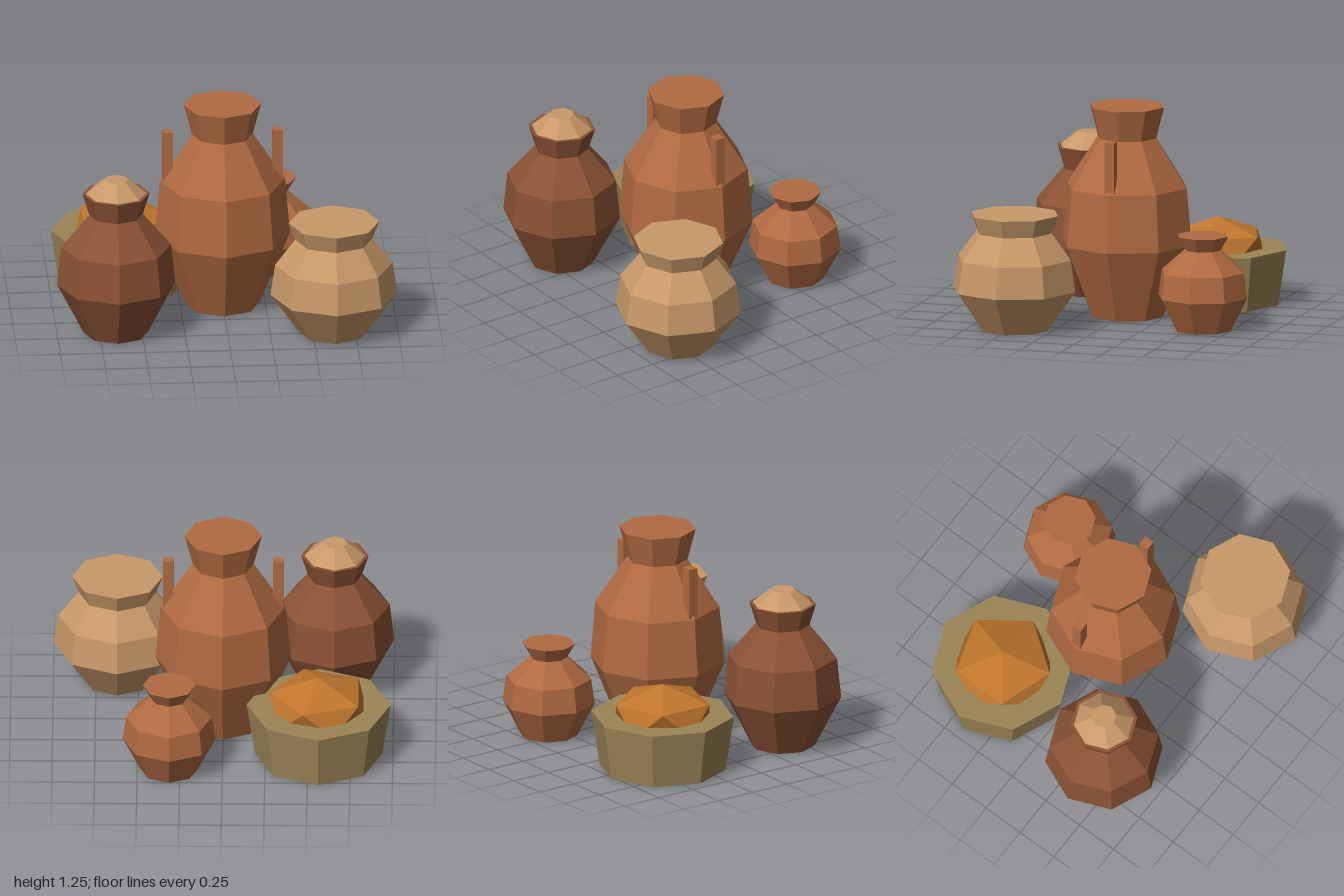
import * as THREE from 'three';

const SIDES = 8;

function material(color) {
  return new THREE.MeshStandardMaterial({ color, flatShading: true });
}

// Closed eight-sided vessel turned from [radius, height] pairs, bottom to top
function vessel(name, color, profile) {
  const top = profile[profile.length - 1][1];
  const points = [[0, profile[0][1]], ...profile, [0, top]].map(([r, y]) => new THREE.Vector2(r, y));
  const mesh = new THREE.Mesh(new THREE.LatheGeometry(points, SIDES), material(color));
  mesh.name = name;
  return mesh;
}

function groupAt(name, x, z, ...parts) {
  const group = new THREE.Group();
  group.name = name;
  group.position.set(x, 0, z);
  group.add(...parts);
  return group;
}

export function createModel() {
  const model = new THREE.Group();
  model.name = 'potteryGroup';

  const terracotta = 0xb06a42, brown = 0x8b5236, sand = 0xc8996a, olive = 0x9c8558, amber = 0xc0762e;

  // Tall jar with two upright handles
  const tallJar = groupAt('tallJar', 0, -0.02,
    vessel('tallJarBody', terracotta, [[0.22, 0], [0.397, 0.435], [0.368, 0.776], [0.179, 1.065], [0.227, 1.252]]));
  for (const side of [1, -1]) {
    const handle = new THREE.Mesh(new THREE.BoxGeometry(0.06, 0.36, 0.06), material(terracotta));
    handle.name = side > 0 ? 'leftHandle' : 'rightHandle';
    handle.position.set(side * 0.323, 0.91, 0);
    tallJar.add(handle);
  }

  // Dark jar closed by a pale lid
  const liddedJar = groupAt('liddedJar', -0.652, 0.412,
    vessel('liddedJarBody', brown, [[0.19, 0], [0.348, 0.308], [0.323, 0.545], [0.158, 0.743], [0.198, 0.875]]),
    vessel('lid', sand, [[0.178, 0.875], [0.073, 0.962]]));

  // Wide pale pot
  const widePot = groupAt('widePot', 0.625, 0.478,
    vessel('widePotBody', sand, [[0.203, 0], [0.373, 0.24], [0.346, 0.428], [0.228, 0.583], [0.267, 0.689]]));

  // Small pot at the back
  const smallPot = groupAt('smallPot', 0.312, -0.583,
    vessel('smallPotBody', terracotta, [[0.17, 0], [0.273, 0.2], [0.252, 0.35], [0.108, 0.479], [0.156, 0.563]]));

  // Basin heaped with a faceted mound, one corner of it pointing up
  const mound = new THREE.Mesh(
    new THREE.IcosahedronGeometry(0.323, 0)
      .rotateX(-Math.atan((1 + Math.sqrt(5)) / 2))
      .rotateY(Math.PI / 2)
      .scale(1, 0.55, 1),
    material(amber));
  mound.name = 'mound';
  mound.position.y = 0.335;
  const basin = groupAt('basin', -0.564, -0.4,
    vessel('basinBody', olive, [[0.374, 0], [0.423, 0.33]]), mound);

  model.add(tallJar, liddedJar, widePot, smallPot, basin);
  return model;
}
